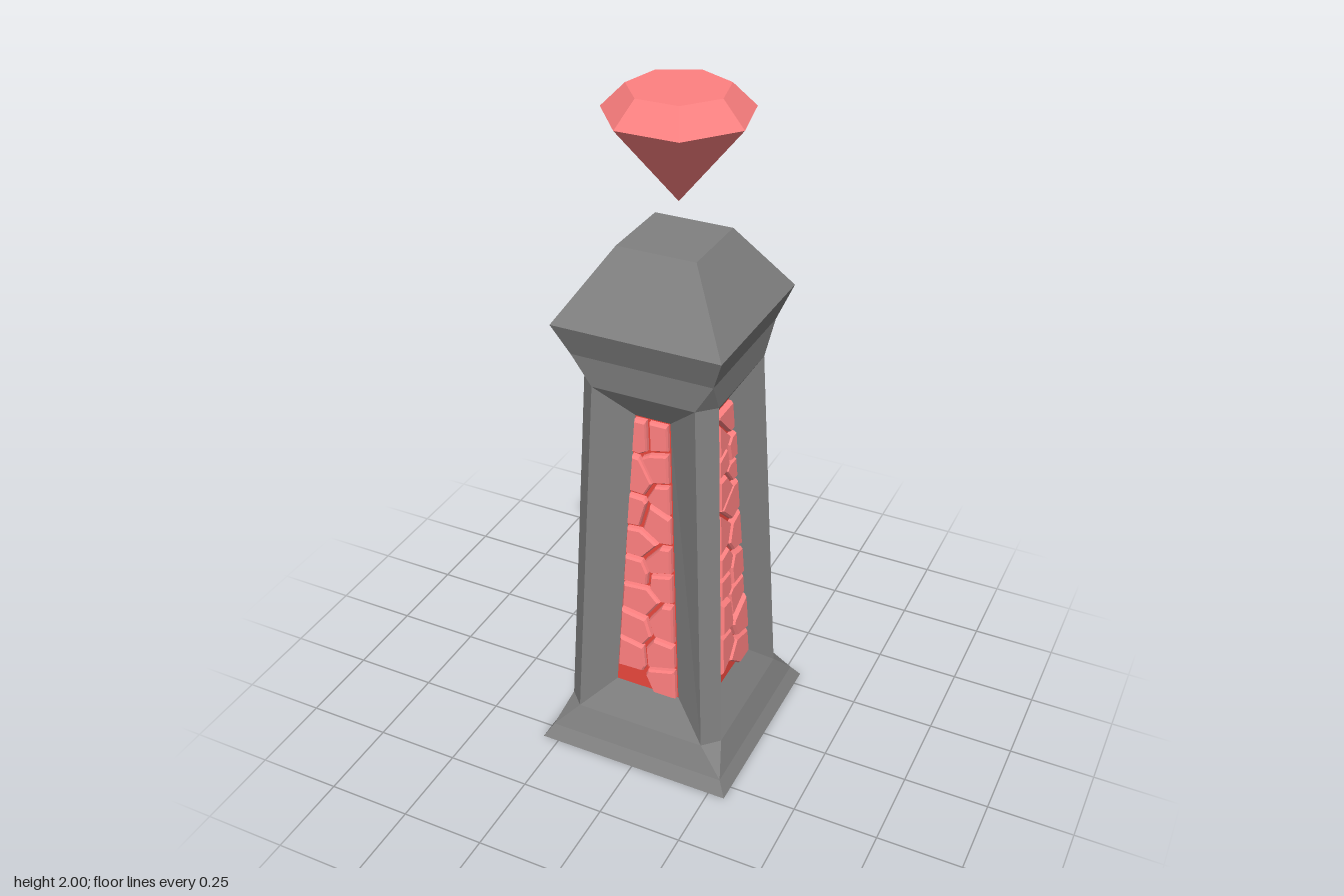
import * as THREE from 'three';

const stone = new THREE.MeshStandardMaterial({ color: 0x808080, flatShading: true });
const crystal = new THREE.MeshStandardMaterial({ color: 0xff8080, flatShading: true });
const glow = new THREE.MeshStandardMaterial({ color: 0xe8463c, flatShading: true });

// Collects polygons (counter-clockwise from outside) into one flat geometry.
class Faces {
  constructor() { this.pos = []; }
  poly(...p) {
    for (let i = 1; i < p.length - 1; i++) {
      const [a, b, c] = [p[0], p[i], p[i + 1]].map((q) => new THREE.Vector3(...q));
      if (new THREE.Triangle(a, b, c).getArea() < 1e-8) continue;
      for (const q of [a, b, c]) this.pos.push(q.x, q.y, q.z);
    }
  }
  mesh(name, material) {
    const g = new THREE.BufferGeometry();
    g.setAttribute('position', new THREE.Float32BufferAttribute(this.pos, 3));
    g.computeVertexNormals();
    const m = new THREE.Mesh(g, material);
    m.name = name;
    return m;
  }
}

function seeded(seed) {
  let s = seed;
  return () => (s = (s * 16807) % 2147483647) / 2147483647;
}

// Square rings with chamfered corners: [y, half width, half width of the flat side]
const rings = [
  [0, 0.30, 0.30], [0.04, 0.275, 0.275], [0.12, 0.245, 0.20], [1.22, 0.197, 0.15],
  [1.31, 0.205, 0.205], [1.405, 0.242, 0.242], [1.6, 0.113, 0.113],
];
const SHAFT = 2; // ring span that holds the recessed window

// Recessed window: [y, z, half width] at its bottom and top
const win = [[0.22, 0.187, 0.10], [1.125, 0.137, 0.052]];
const lerp = THREE.MathUtils.lerp;
const winT = (y) => (y - win[0][0]) / (win[1][0] - win[0][0]);
const winZ = (y) => lerp(win[0][1], win[1][1], winT(y));
const winW = (y) => lerp(win[0][2], win[1][2], winT(y));

// One quarter of the stonework: front wall plus the corner to its left
function stoneSide() {
  const f = new Faces();
  for (let i = 0; i < rings.length - 1; i++) {
    const [y0, h0, c0] = rings[i], [y1, h1, c1] = rings[i + 1];
    const outer = [[-c0, y0, h0], [c0, y0, h0], [c1, y1, h1], [-c1, y1, h1]];
    if (i === SHAFT) {
      const [[b, zb, wb], [t, zt, wt]] = win;
      const inner = [[-wb, b, zb], [wb, b, zb], [wt, t, zt], [-wt, t, zt]];
      for (let k = 0; k < 4; k++) {
        const n = (k + 1) % 4;
        f.poly(outer[k], outer[n], inner[n], inner[k]);
      }
    } else f.poly(...outer);
    f.poly([c0, y0, h0], [h0, y0, c0], [h1, y1, c1], [c1, y1, h1]);
  }
  // quarter of the lid and of the underside
  const [yt, ht] = rings[rings.length - 1], hb = rings[0][1];
  f.poly([-ht, yt, ht], [ht, yt, ht], [0, yt, 0]);
  f.poly([hb, 0, hb], [-hb, 0, hb], [0, 0, 0]);
  return f.mesh('stoneWall', stone);
}

function windowBacking() {
  const f = new Faces();
  const [[b, zb, wb], [t, zt, wt]] = win;
  f.poly([-wb, b, zb], [wb, b, zb], [wt, t, zt], [-wt, t, zt]);
  return f.mesh('windowBacking', glow);
}

// Keeps the part of a polygon where n.p <= d
function clip(poly, nx, ny, d) {
  const out = [];
  poly.forEach((p, i) => {
    const q = poly[(i + 1) % poly.length];
    const a = nx * p[0] + ny * p[1] - d, b = nx * q[0] + ny * q[1] - d;
    if (a <= 0) out.push(p);
    if (a * b < 0) out.push([lerp(p[0], q[0], a / (a - b)), lerp(p[1], q[1], a / (a - b))]);
  });
  return out;
}

// Raised, bevelled shards: cells around jittered points, separated by thin gaps
function shards(seed) {
  const rnd = seeded(seed), rows = 9, gap = 0.005, sites = [];
  for (let r = 0; r < rows; r++) {
    for (const side of [-1, 1]) {
      const y = lerp(win[0][0], win[1][0], (r + 0.5 + side * 0.2 + (rnd() - 0.5) * 0.7) / rows);
      sites.push([winW(y) * (side * 0.5 + (rnd() - 0.5) * 0.7), y]);
    }
  }
  const f = new Faces(), m = 0.003;
  const [[b, , wb], [t, , wt]] = win;
  sites.forEach((s, i) => {
    if (i === 0) return; // bare patch at the foot
    let cell = [[-wb + m, b + m], [wb - m, b + m], [wt - m, t - m], [-wt + m, t - m]];
    for (const o of sites) {
      if (o === s) continue;
      const dx = o[0] - s[0], dy = o[1] - s[1], len = Math.hypot(dx, dy);
      const nx = dx / len, ny = dy / len;
      cell = clip(cell, nx, ny, nx * s[0] + ny * s[1] + len / 2 - gap);
    }
    if (cell.length < 3) return;
    const cx = cell.reduce((v, p) => v + p[0], 0) / cell.length;
    const cy = cell.reduce((v, p) => v + p[1], 0) / cell.length;
    const height = 0.014 + 0.008 * rnd();
    const layer = (scale, h) => cell.map(([x, y]) => {
      const px = lerp(cx, x, scale), py = lerp(cy, y, scale);
      return [px, py, winZ(py) + h];
    });
    const levels = [layer(1, 0), layer(0.98, height * 0.6), layer(0.87, height)];
    for (let k = 0; k < 2; k++) {
      cell.forEach((_, j) => {
        const n = (j + 1) % cell.length;
        f.poly(levels[k][j], levels[k][n], levels[k + 1][n], levels[k + 1][j]);
      });
    }
    f.poly(...levels[2]);
  });
  return f.mesh('crystalShards', crystal);
}

export function createModel() {
  const model = new THREE.Group();
  model.name = 'crystalPillar';

  // Four sides of the pillar
  ['front', 'left', 'back', 'right'].forEach((name, i) => {
    const side = new THREE.Group();
    side.name = name + 'Side';
    side.add(stoneSide(), windowBacking(), shards(1234 + i * 7919));
    side.rotation.y = i * Math.PI / 2;
    model.add(side);
  });

  // Seven-sided cut gem floating above the cap
  const profile = [[0, 1.7], [0.2, 1.935], [0.135, 2], [0, 2]].map((p) => new THREE.Vector2(...p));
  const gem = new THREE.Mesh(new THREE.LatheGeometry(profile, 7, Math.PI), crystal);
  gem.name = 'floatingGem';
  gem.position.x = 0.01;
  model.add(gem);
  return model;
}
